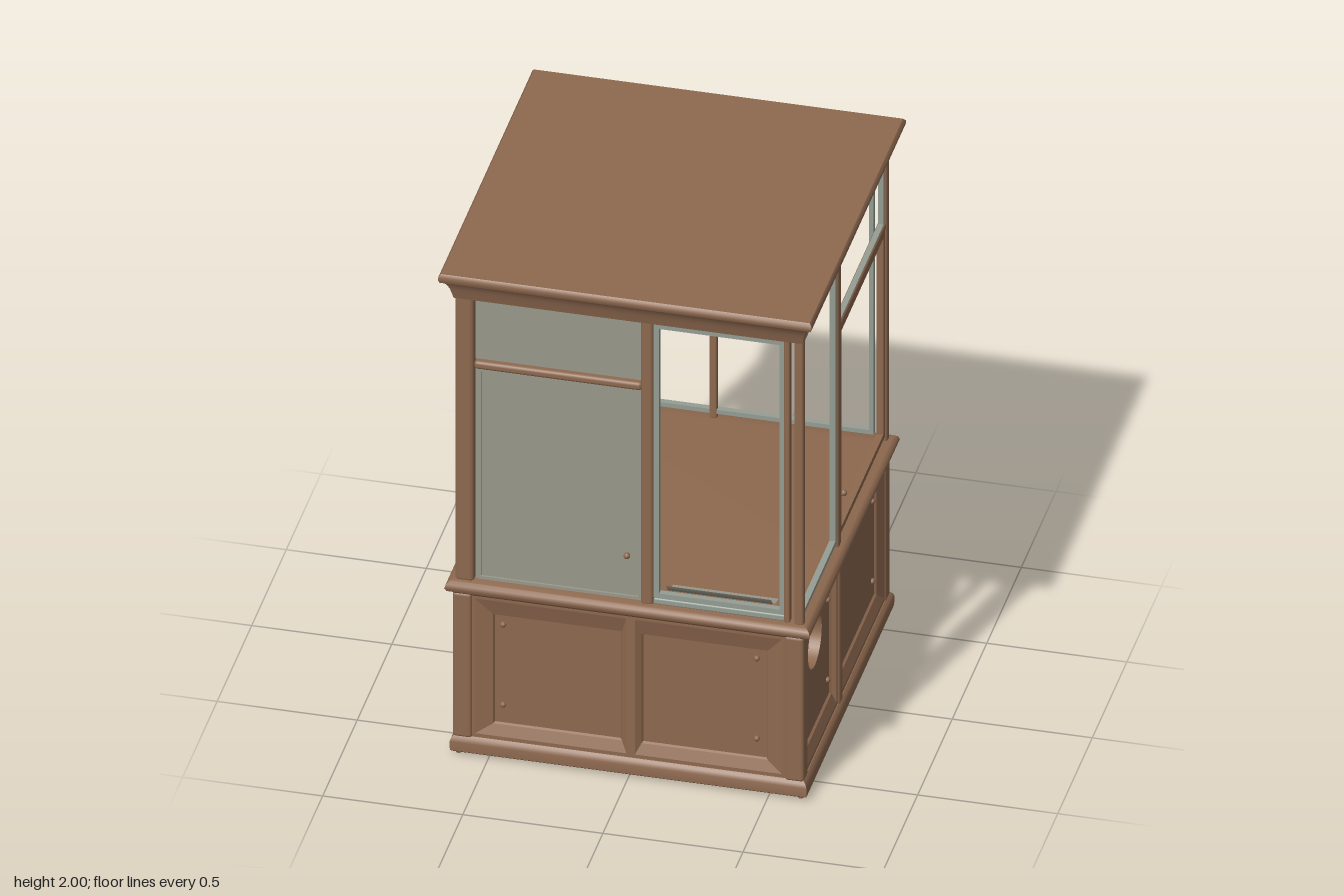
import * as THREE from 'three';
import { toCreasedNormals } from 'three/addons/utils/BufferGeometryUtils.js';
import { RoundedBoxGeometry } from 'three/addons/geometries/RoundedBoxGeometry.js';

const mat = (name, color, side = THREE.FrontSide) => {
  const m = new THREE.MeshStandardMaterial({ color, side });
  m.name = name;
  return m;
};

export function createModel() {
  const wood = mat('brown wood', 0x8e694f, THREE.DoubleSide);
  const metal = mat('pale window frame', 0x959e94);
  const glass = mat('grey pane', 0x9a998c, THREE.DoubleSide);
  const model = new THREE.Group();
  model.name = 'booth';

  const add = (parent, name, geo, material, x = 0, y = 0, z = 0) => {
    const mesh = new THREE.Mesh(geo, material);
    mesh.name = name;
    mesh.position.set(x, y, z);
    parent.add(mesh);
    return mesh;
  };

  // Bar filling the given ranges, with softened edges
  const bar = (parent, name, x0, x1, y0, y1, z0, z1, r = 0.008, material = wood) =>
    add(parent, name, new RoundedBoxGeometry(x1 - x0, y1 - y0, z1 - z0, 2, r), material,
      (x0 + x1) / 2, (y0 + y1) / 2, (z0 + z1) / 2);

  // Square moulding swept from a half-width / height profile
  const moulding = (name, profile) => {
    const pts = profile.map(([r, y]) => new THREE.Vector2(r * Math.SQRT2, y));
    const geo = new THREE.LatheGeometry(pts, 4, Math.PI / 4);
    return add(model, name, toCreasedNormals(geo, 0.7), wood);
  };

  // Rectangular window or door frame with an opening
  const frame = (parent, name, x0, x1, y0, y1, t, z, depth, material) => {
    const rect = (C, i) => new C([[x0 + i, y0 + i], [x1 - i, y0 + i], [x1 - i, y1 - i], [x0 + i, y1 - i]]
      .map(([x, y]) => new THREE.Vector2(x, y)));
    const shape = rect(THREE.Shape, 0);
    shape.holes.push(rect(THREE.Path, t));
    return add(parent, name, new THREE.ExtrudeGeometry(shape, { depth, bevelEnabled: false }), material, 0, 0, z);
  };

  // Sunk panel: sloping mitred border, small step, then a flat field
  const FIELD = 0.595;
  const sunkPanel = (parent, [x0, x1, y0, y1], [a0, a1, b0, b1], hole) => {
    const loops = [
      [x0, x1, y0, y1, 0.619], [x0 + 0.015, x1 - 0.015, y0 + 0.015, y1 - 0.015, 0.619],
      [a0, a1, b0, b1, 0.603], [a0 + 0.005, a1 - 0.005, b0 + 0.005, b1 - 0.005, FIELD],
    ].map(([l, r, b, t, z]) => [[l, b, z], [r, b, z], [r, t, z], [l, t, z]]);
    const pos = [];
    for (let k = 0; k < 3; k++) {
      for (let i = 0; i < 4; i++) {
        const j = (i + 1) % 4, [o, n] = [loops[k], loops[k + 1]];
        pos.push(...o[i], ...o[j], ...n[j], ...o[i], ...n[j], ...n[i]);
      }
    }
    const geo = new THREE.BufferGeometry();
    geo.setAttribute('position', new THREE.Float32BufferAttribute(pos, 3));
    geo.computeVertexNormals();
    add(parent, 'panelBorder', geo, wood);

    const field = new THREE.Shape(loops[3].map(([x, y]) => new THREE.Vector2(x, y)));
    if (hole) field.holes.push(new THREE.Path().absarc(hole.x, hole.y, hole.r, 0, Math.PI * 2, true));
    add(parent, 'panelField', new THREE.ShapeGeometry(field, 24), wood, 0, 0, FIELD);
    if (hole) {
      const wall = new THREE.CylinderGeometry(hole.r, hole.r, 0.07, 32, 1, true).rotateX(Math.PI / 2);
      add(parent, 'portWall', wall, wood, hole.x, hole.y, FIELD - 0.035);
      add(parent, 'portBack', new THREE.CircleGeometry(hole.r, 32), wood, hole.x, hole.y, FIELD - 0.07);
    }
  };

  const screws = (parent, xs) => {
    for (const x of xs) for (const y of [0.21, 0.54]) {
      add(parent, 'screw', new THREE.SphereGeometry(0.011, 10, 6), wood, x, y, FIELD + 0.003);
    }
  };

  // Door knob with a ball on each face
  const knob = (parent, x, y, z) => {
    const stem = new THREE.CylinderGeometry(0.006, 0.006, 0.04, 10).rotateX(Math.PI / 2);
    add(parent, 'knobStem', stem, wood, x, y, z);
    for (const s of [-1, 1]) add(parent, 'knob', new THREE.SphereGeometry(0.012, 12, 8), wood, x, y, z + s * 0.019);
  };

  // Each wall is modelled facing +z, then turned into place
  const wall = (name, turn) => {
    const g = new THREE.Group();
    g.name = name;
    g.rotation.y = turn;
    model.add(g);
    return g;
  };

  // Plinth, belt with floor, and cornice roof
  moulding('plinth', [[0, 0.01], [0.626, 0.01], [0.636, 0.018], [0.637, 0.054], [0.632, 0.068], [0.622, 0.077], [0, 0.077]]);
  moulding('beltAndFloor', [[0, 0.658], [0.622, 0.658], [0.632, 0.672], [0.646, 0.678], [0.652, 0.692],
    [0.648, 0.706], [0.635, 0.717], [0.57, 0.719], [0, 0.719]]);
  moulding('roof', [[0, 1.885], [0.622, 1.885], [0.627, 1.905], [0.633, 1.928], [0.642, 1.948], [0.65, 1.96],
    [0.662, 1.966], [0.666, 1.976], [0.666, 1.99], [0.658, 2], [0, 2]]).scale.z = 1.025;
  for (const x of [-0.61, 0.61]) for (const z of [-0.61, 0.61]) {
    add(model, 'foot', new THREE.CylinderGeometry(0.01, 0.01, 0.014, 12), wood, x, 0.007, z);
  }

  // Corner posts below and above the belt; the right side uses slimmer ones above
  for (const sz of [-1, 1]) {
    const zr = (a, b) => (sz > 0 ? [a, b] : [-b, -a]);
    for (const [a, b] of [[-0.63, -0.56], [0.555, 0.625]]) {
      bar(model, 'lowerCornerPost', a, b, 0.07, 0.665, ...zr(0.56, 0.628), 0.012);
    }
    bar(model, 'leftUpperPost', -0.622, -0.555, 0.71, 1.89, ...zr(0.575, 0.622), 0.014);
    bar(model, 'rightUpperPost', 0.588, 0.623, 0.71, 1.89, ...zr(0.588, 0.623), 0.01);
  }

  // Front: solid grey door with transom, and a service window
  const front = wall('frontWall', 0);
  sunkPanel(front, [-0.565, 0.005, 0.075, 0.66], [-0.49, -0.03, 0.13, 0.58]);
  sunkPanel(front, [0.005, 0.56, 0.075, 0.66], [0.04, 0.49, 0.13, 0.58]);
  screws(front, [-0.455, 0.45]);
  bar(front, 'centrePost', 0.04, 0.085, 0.71, 1.89, 0.575, 0.62, 0.012);
  bar(front, 'transomRail', -0.555, 0.045, 1.59, 1.622, 0.575, 0.622, 0.012);
  bar(front, 'doorPane', -0.555, 0.042, 0.715, 1.592, 0.588, 0.598, 0.002, glass);
  frame(front, 'doorTrim', -0.545, 0.04, 0.72, 1.588, 0.012, 0.592, 0.014, glass);
  bar(front, 'transomPane', -0.555, 0.042, 1.62, 1.887, 0.588, 0.598, 0.002, glass);
  knob(front, -0.01, 0.9, 0.593);
  frame(front, 'serviceWindowFrame', 0.085, 0.555, 0.742, 1.872, 0.02, 0.59, 0.022, metal);
  bar(front, 'serviceWindowSill', 0.085, 0.555, 0.717, 0.742, 0.585, 0.615, 0.006, metal);
  bar(front, 'serviceWindowStile', 0.552, 0.573, 0.715, 1.89, 0.585, 0.62, 0.006);

  // Scooped tray rising outward at the foot of the service window
  const scoop = new THREE.QuadraticBezierCurve(
    new THREE.Vector2(0.56, 0.772), new THREE.Vector2(0.63, 0.772), new THREE.Vector2(0.662, 0.83));
  const tray = new THREE.PlaneGeometry(0.375, 1, 1, 10);
  const p = tray.attributes.position;
  for (let i = 0; i < p.count; i++) {
    const s = scoop.getPoint(p.getY(i) + 0.5);
    p.setXYZ(i, p.getX(i), s.y, s.x);
  }
  tray.computeVertexNormals();
  add(front, 'passTray', tray, glass, 0.33, 0, 0);

  // Right: port panel, centre post, glazed door with transom
  const right = wall('rightWall', Math.PI / 2);
  sunkPanel(right, [-0.585, -0.115, 0.075, 0.66], [-0.54, -0.135, 0.13, 0.58], { x: -0.345, y: 0.475, r: 0.1 });
  sunkPanel(right, [-0.065, 0.575, 0.075, 0.66], [-0.015, 0.515, 0.13, 0.605]);
  screws(right, [-0.505, -0.175, 0.475]);
  bar(right, 'lowerCentrePost', -0.115, -0.065, 0.07, 0.665, 0.57, 0.628, 0.012);
  bar(right, 'centrePost', -0.11, -0.07, 0.71, 1.89, 0.588, 0.622, 0.01);
  frame(right, 'sideWindowFrame', -0.585, -0.11, 0.735, 1.872, 0.017, 0.593, 0.022, metal);
  frame(right, 'doorFrame', -0.065, 0.582, 0.74, 1.592, 0.022, 0.592, 0.024, wood);
  bar(right, 'transomRail', -0.075, 0.59, 1.592, 1.622, 0.59, 0.62, 0.01);
  frame(right, 'transomFrame', -0.075, 0.582, 1.61, 1.874, 0.013, 0.595, 0.02, metal);
  knob(right, -0.04, 0.9, 0.604);

  // Back and left: paired panels below one wide window with a slim mullion
  for (const [name, turn, m, x0] of [['backWall', Math.PI, 0, -0.573], ['leftWall', -Math.PI / 2, -0.03, -0.585]]) {
    const g = wall(name, turn);
    sunkPanel(g, [-0.57, 0, 0.075, 0.66], [-0.49, -0.035, 0.13, 0.58]);
    sunkPanel(g, [0, 0.57, 0.075, 0.66], [0.035, 0.49, 0.13, 0.58]);
    screws(g, [-0.455, 0.455]);
    frame(g, 'wideWindowFrame', x0, 0.585, 0.735, 1.875, 0.017, 0.593, 0.022, metal);
    bar(g, 'mullion', m - 0.014, m + 0.014, 0.715, 1.888, 0.59, 0.615, 0.006);
  }
  return model;
}
